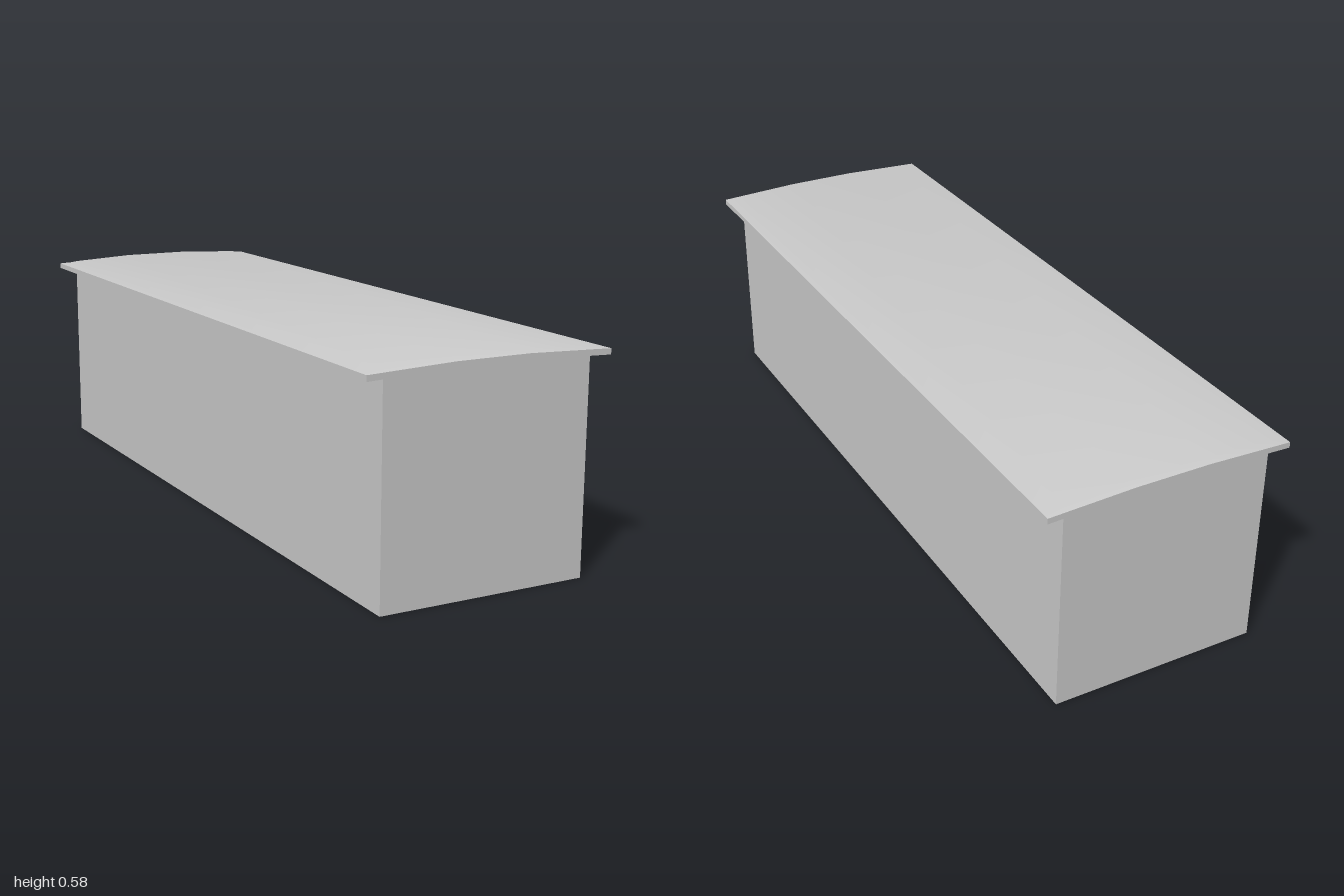
import * as THREE from 'three';
import { toCreasedNormals } from 'three/addons/utils/BufferGeometryUtils.js';

const material = new THREE.MeshStandardMaterial({ color: 0xcccccc });

// Roof stations: across the width and along the length
const X = [-0.331, -0.281, -0.1, 0.1, 0.281, 0.331];
const Z = [-1, -0.98, 0.98, 1];
const UNDER = [0.547, 0.549, 0.554, 0.554, 0.549, 0.547];
const RIM = [0.562, 0.564, 0.571, 0.571, 0.564, 0.562];
const CROWN = [0.562, 0.569, 0.578, 0.578, 0.569, 0.562];

// Thin cambered slab whose top slopes down to the rim at both ends
function roofGeometry() {
  const geo = new THREE.BoxGeometry(5, 1, 3, 5, 1, 3);
  const p = geo.attributes.position;
  for (let n = 0; n < p.count; n++) {
    const i = Math.round(p.getX(n) + 2.5);
    const k = Math.round(p.getZ(n) + 1.5);
    const top = k === 0 || k === 3 ? RIM : CROWN;
    p.setXYZ(n, X[i], (p.getY(n) > 0 ? top : UNDER)[i], Z[k]);
  }
  return toCreasedNormals(geo, Math.PI / 6);
}

// Box body whose top follows the underside of the roof
function bodyGeometry() {
  const shape = new THREE.Shape();
  shape.moveTo(X[1], 0);
  shape.lineTo(X[4], 0);
  for (let i = 4; i >= 1; i--) shape.lineTo(X[i], UNDER[i]);
  shape.closePath();
  const geo = new THREE.ExtrudeGeometry(shape, { depth: 1.97, bevelEnabled: false });
  return geo.translate(0, 0, -0.985);
}

export function createModel() {
  const group = new THREE.Group();
  const add = (name, geo) => {
    const mesh = new THREE.Mesh(geo, material);
    mesh.name = name;
    group.add(mesh);
  };
  add('body', bodyGeometry());
  add('roof', roofGeometry());
  return group;
}
